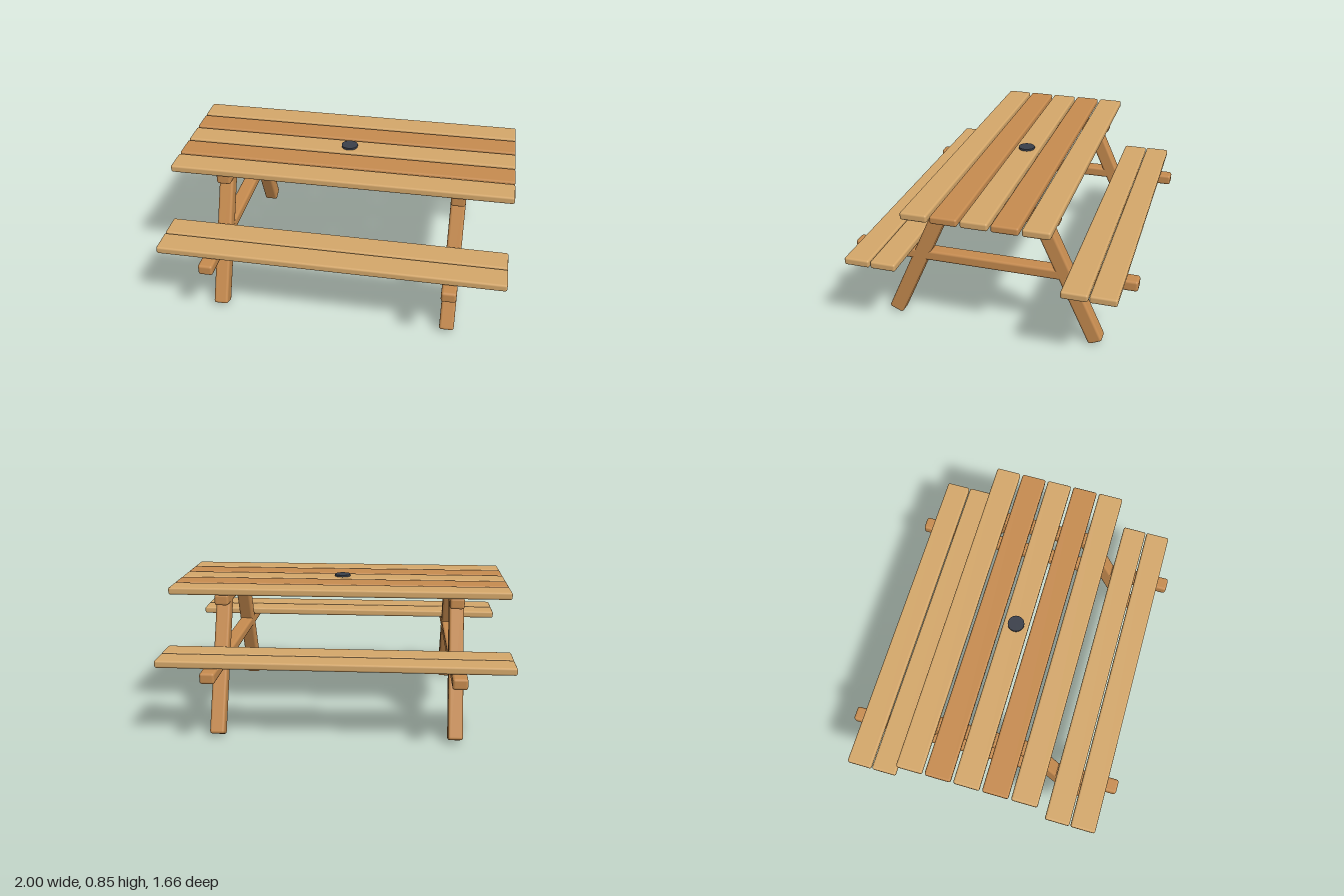
import * as THREE from 'three';
import { RoundedBoxGeometry } from 'three/addons/geometries/RoundedBoxGeometry.js';

export function createModel() {
  const model = new THREE.Group();
  model.name = 'picnicTable';

  const material = (name, color) => {
    const m = new THREE.MeshStandardMaterial({ color });
    m.name = name;
    return m;
  };
  const lightWood = material('light wood', 0xd4a76a);
  const darkWood = material('dark wood', 0xc68b4f);
  const capGrey = material('dark grey', 0x3a3f4a);

  // Timber with softened edges
  const beam = (name, mat, size, position, tilt = 0, radius = 0.012) => {
    const mesh = new THREE.Mesh(new RoundedBoxGeometry(...size, 2, radius), mat);
    mesh.name = name;
    mesh.position.set(...position);
    mesh.rotation.x = tilt;
    model.add(mesh);
  };

  // Table top: five boards in alternating tones
  for (let i = -2; i <= 2; i++) {
    beam('topPlank', i % 2 ? darkWood : lightWood, [2, 0.044, 0.151], [0, 0.824, i * 0.167]);
  }

  // Benches: two boards on each side
  for (const side of [-1, 1]) {
    for (const z of [0.537, 0.692]) {
      beam('seatPlank', lightWood, [2, 0.044, 0.148], [0, 0.489, side * z]);
    }
  }

  // Two A-frames: top bearer, seat bearer and a pair of splayed legs
  const splay = 0.426;
  const bottom = new THREE.Vector2(0.613, 0.019); // z, y at the foot
  const legLength = 0.825;
  const legZ = bottom.x - Math.sin(splay) * legLength / 2;
  const legY = bottom.y + Math.cos(splay) * legLength / 2;
  for (const x of [-0.69, 0.69]) {
    beam('topBearer', darkWood, [0.085, 0.066, 0.776], [x, 0.769, 0], 0, 0.015);
    beam('seatBearer', darkWood, [0.085, 0.064, 1.664], [x, 0.433, 0], 0, 0.015);
    for (const side of [-1, 1]) {
      beam('leg', darkWood, [0.086, legLength, 0.088], [x, legY, side * legZ], -side * splay, 0.015);
    }
  }

  // Parasol hole cap
  const cap = new THREE.Mesh(new THREE.CylinderGeometry(0.049, 0.049, 0.014, 24), capGrey);
  cap.name = 'parasolCap';
  cap.position.y = 0.851;
  model.add(cap);

  return model;
}
